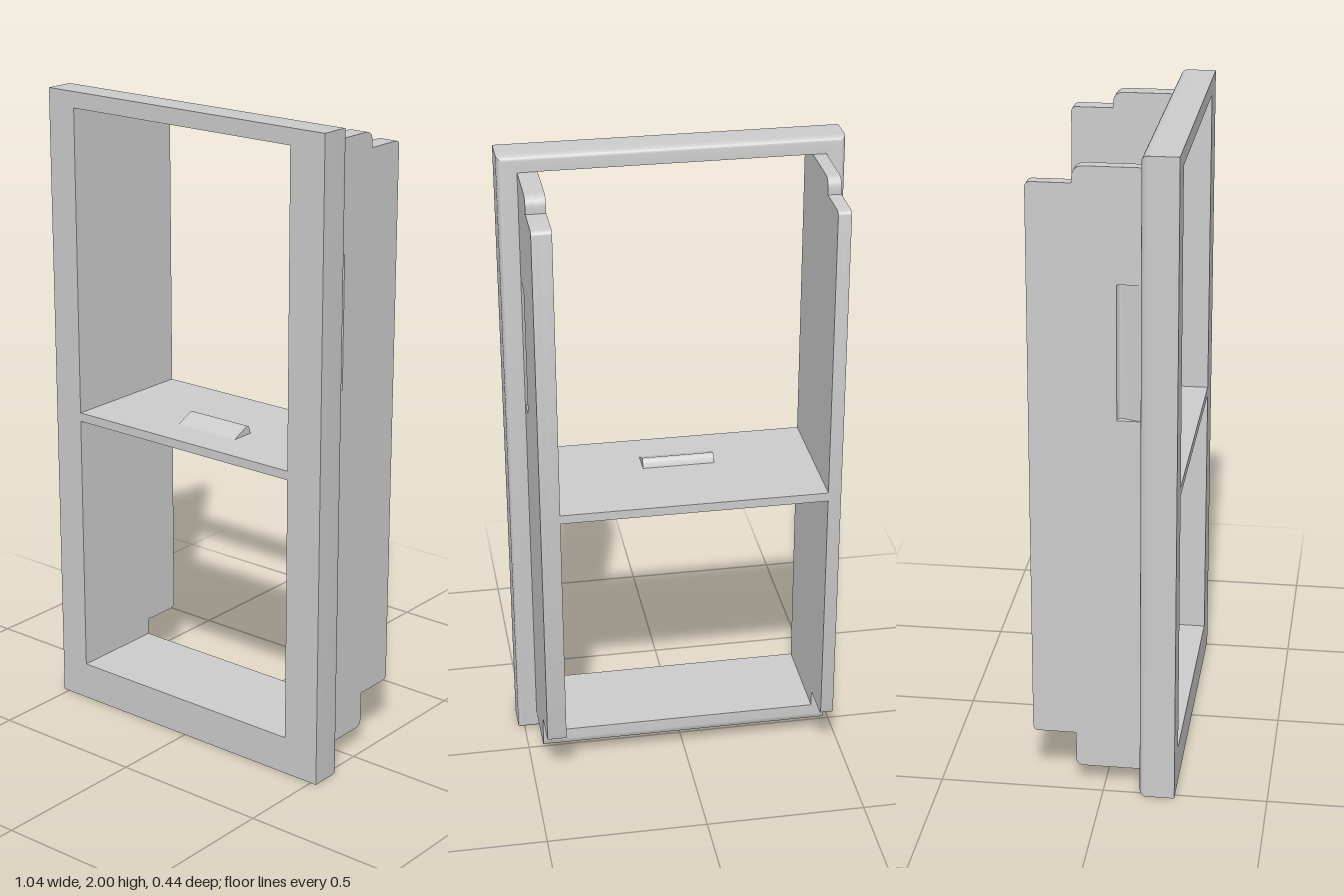
import * as THREE from 'three';
import { toCreasedNormals } from 'three/addons/utils/BufferGeometryUtils.js';

const grey = new THREE.MeshStandardMaterial({ color: 0xcccccc });

function part(name, geometry) {
  const mesh = new THREE.Mesh(toCreasedNormals(geometry, 0.6), grey);
  mesh.name = name;
  return mesh;
}

// Closed outline from [u, v, cornerRadius] points
function outline(points) {
  const shape = new THREE.Shape();
  const n = points.length;
  points.forEach(([u, v, r = 0], i) => {
    const p = new THREE.Vector2(u, v);
    const toward = (q) => new THREE.Vector2(q[0] - u, q[1] - v).setLength(r).add(p);
    const a = toward(points[(i + n - 1) % n]);
    const b = toward(points[(i + 1) % n]);
    if (i === 0) shape.moveTo(a.x, a.y);
    else shape.lineTo(a.x, a.y);
    if (r > 0) shape.quadraticCurveTo(u, v, b.x, b.y);
  });
  shape.closePath();
  return shape;
}

// Extrude a side profile of [z, y, radius] points from x0 to x1
function alongX(profile, x0, x1, hole) {
  const flip = (pts) => outline(pts.map(([z, y, r]) => [-z, y, r]));
  const shape = flip(profile);
  if (hole) shape.holes.push(flip(hole));
  return new THREE.ExtrudeGeometry(shape, { depth: x1 - x0, bevelEnabled: false, curveSegments: 6 })
    .rotateY(Math.PI / 2)
    .translate(x0, 0, 0);
}

// Extrude a plan profile of [x, z, radius] points from y0 to y1
function alongY(profile, y0, y1) {
  const shape = outline(profile.map(([x, z, r]) => [x, -z, r]));
  return new THREE.ExtrudeGeometry(shape, { depth: y1 - y0, bevelEnabled: false, curveSegments: 6 })
    .rotateX(-Math.PI / 2)
    .translate(0, y0, 0);
}

const FRONT = 0.22, FRAME_BACK = 0.112;
const IN = { x0: -0.42, x1: 0.4, y0: 0.12, y1: 1.95 };

// Rectangular frame: loft of rectangular rings, back outer edge rounded
function frameGeometry() {
  const ring = (x0, x1, y0, y1, z) => [[x0, y0, z], [x1, y0, z], [x1, y1, z], [x0, y1, z]];
  const outer = (inset, z) => ring(-0.52 + inset, 0.52 - inset, inset, 2 - inset, z);
  const r = 0.02;
  const rings = [outer(0, FRONT)];
  for (let i = 0; i <= 6; i++) {
    const a = (i / 6) * Math.PI / 2;
    rings.push(outer(r * (1 - Math.cos(a)), FRAME_BACK + r * (1 - Math.sin(a))));
  }
  rings.push(ring(IN.x0, IN.x1, IN.y0, IN.y1, FRAME_BACK));
  rings.push(ring(IN.x0, IN.x1, IN.y0, IN.y1, FRONT));
  const pos = [];
  rings.forEach((A, k) => {
    const B = rings[(k + 1) % rings.length];
    for (let i = 0; i < 4; i++) {
      const j = (i + 1) % 4;
      for (const p of [A[i], B[j], A[j], A[i], B[i], B[j]]) pos.push(...p);
    }
  });
  const g = new THREE.BufferGeometry();
  g.setAttribute('position', new THREE.Float32BufferAttribute(pos, 3));
  g.computeVertexNormals();
  return g;
}

// Side panel in two layers: plain inside, outside with a ramped recess
function sidePanel(name, sign, inner) {
  const group = new THREE.Group();
  group.name = name;
  const profile = [
    [0.12, 0.06], [-0.088, 0.06, 0.025], [-0.088, 0.172], [-0.22, 0.172, 0.018],
    [-0.22, 1.9, 0.018], [-0.088, 1.9], [-0.088, 1.95, 0.035], [0.12, 1.95],
  ];
  const outer = 0.46, depth = 0.025, mid = outer - depth;
  const layer = (a, b, hole) =>
    alongX(profile, Math.min(sign * a, sign * b), Math.max(sign * a, sign * b), hole);
  group.add(part(name + 'Inner', layer(inner, mid)));
  group.add(part(name + 'Outer', layer(mid, outer,
    [[0.11, 1.2], [0.11, 1.61], [0.038, 1.61], [0.038, 1.2]])));
  // Recess floor, shallow beside the frame and deeper toward the back
  group.add(part(name + 'RecessRamp', alongY([
    [sign * outer, 0.11], [sign * (mid + 0.002), 0.045, 0.006],
    [sign * (outer - 0.01), 0.038], [sign * (mid - 0.002), 0.038], [sign * (mid - 0.002), 0.11],
  ], 1.2, 1.61)));
  return group;
}

export function createModel() {
  const model = new THREE.Group();
  model.name = 'openFrameWithShelf';

  model.add(part('frontFrame', frameGeometry()));
  model.add(sidePanel('leftPanel', 1, IN.x1));
  model.add(sidePanel('rightPanel', -1, -IN.x0));

  // Floor between the side panels, rounded along its lower back edge
  model.add(part('bottomPanel', alongX(
    [[0.12, 0.06], [-0.088, 0.06, 0.025], [-0.088, IN.y0], [0.12, IN.y0]], IN.x0, IN.x1)));

  // Middle shelf, flush with the frame front
  model.add(part('shelf', alongX(
    [[FRONT, 0.957], [-0.22, 0.957], [-0.22, 0.985], [FRONT, 0.985]], IN.x0, IN.x1)));

  // Wedge catch on the shelf, rising toward the back
  model.add(part('shelfCatch', alongX(
    [[0.11, 0.984], [0.04, 1.016, 0.014], [0.03, 0.984]], -0.113, 0.11)));

  return model;
}
